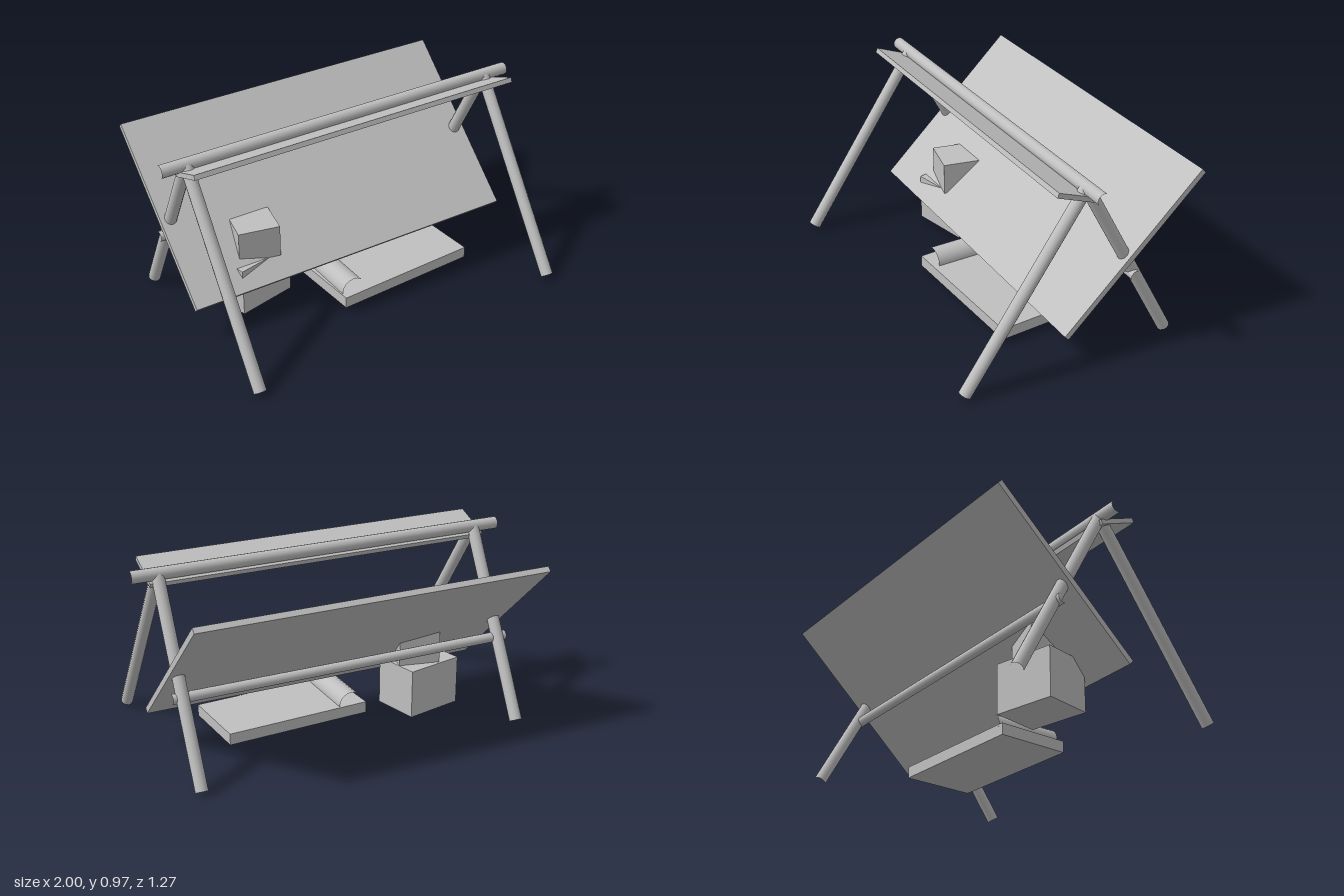
import * as THREE from 'three';

export function createModel() {
  const model = new THREE.Group();
  model.name = 'leanToShelter';
  const grey = new THREE.MeshStandardMaterial({ color: 0xc0c0c0 });
  grey.name = 'plain grey';

  function add(name, geometry) {
    const mesh = new THREE.Mesh(geometry, grey);
    mesh.name = name;
    model.add(mesh);
    return mesh;
  }

  // Hollow round pole between two points
  function pole(name, from, to, radius, sides = 12) {
    const a = new THREE.Vector3(...from);
    const b = new THREE.Vector3(...to);
    const dir = b.clone().sub(a);
    const mesh = add(name, new THREE.CylinderGeometry(radius, radius, dir.length(), sides, 1, true));
    mesh.position.copy(a).add(b).multiplyScalar(0.5);
    mesh.quaternion.setFromUnitVectors(new THREE.Vector3(0, 1, 0), dir.normalize());
  }

  // Tilted board given by its lower and upper edge as [y, z]
  function board(name, width, thickness, low, high) {
    const dy = high[0] - low[0];
    const dz = high[1] - low[1];
    const mesh = add(name, new THREE.BoxGeometry(width, thickness, Math.hypot(dy, dz)));
    mesh.position.set(0, (low[0] + high[0]) / 2, (low[1] + high[1]) / 2);
    mesh.rotation.x = -Math.atan2(dy, dz);
    // Keep the board's upper face upward
    if (dz < 0) mesh.rotation.x += Math.PI;
  }

  // Box turned about the vertical
  function box(name, size, position, turn) {
    const mesh = add(name, new THREE.BoxGeometry(...size));
    mesh.position.set(...position);
    mesh.rotation.y = turn;
  }

  // Frame
  pole('ridgePole', [-1, 0.932, -0.013], [1, 0.932, -0.013], 0.032);
  pole('backRail', [-0.915, 0.405, -0.28], [0.915, 0.405, -0.28], 0.026);
  for (const [side, x] of [['left', 0.865], ['right', -0.865]]) {
    pole(side + 'FrontLeg', [x, 0.022, 0.61], [x, 0.932, -0.012], 0.032);
    pole(side + 'BackLeg', [x, 0.02, -0.502], [x, 0.932, -0.012], 0.032);
  }

  // Sloping panel and small front awning
  board('slopingPanel', 1.84, 0.03, [0.188, 0.1], [0.875, -0.627]);
  board('frontAwning', 1.82, 0.025, [0.883, -0.034], [0.961, 0.165]);

  // Bed with roll
  box('bed', [0.78, 0.06, 0.39], [0.196, 0.06, 0.076], 0.052);
  pole('bedRoll', [-0.115, 0.095, -0.1], [-0.115, 0.095, 0.255], 0.065, 16);

  // Stacked crates
  box('lowerCrate', [0.318, 0.255, 0.253], [-0.512, 0.158, -0.1], 0.222);
  box('upperCrate', [0.215, 0.17, 0.194], [-0.49, 0.37, -0.085], -0.205);

  return model;
}
